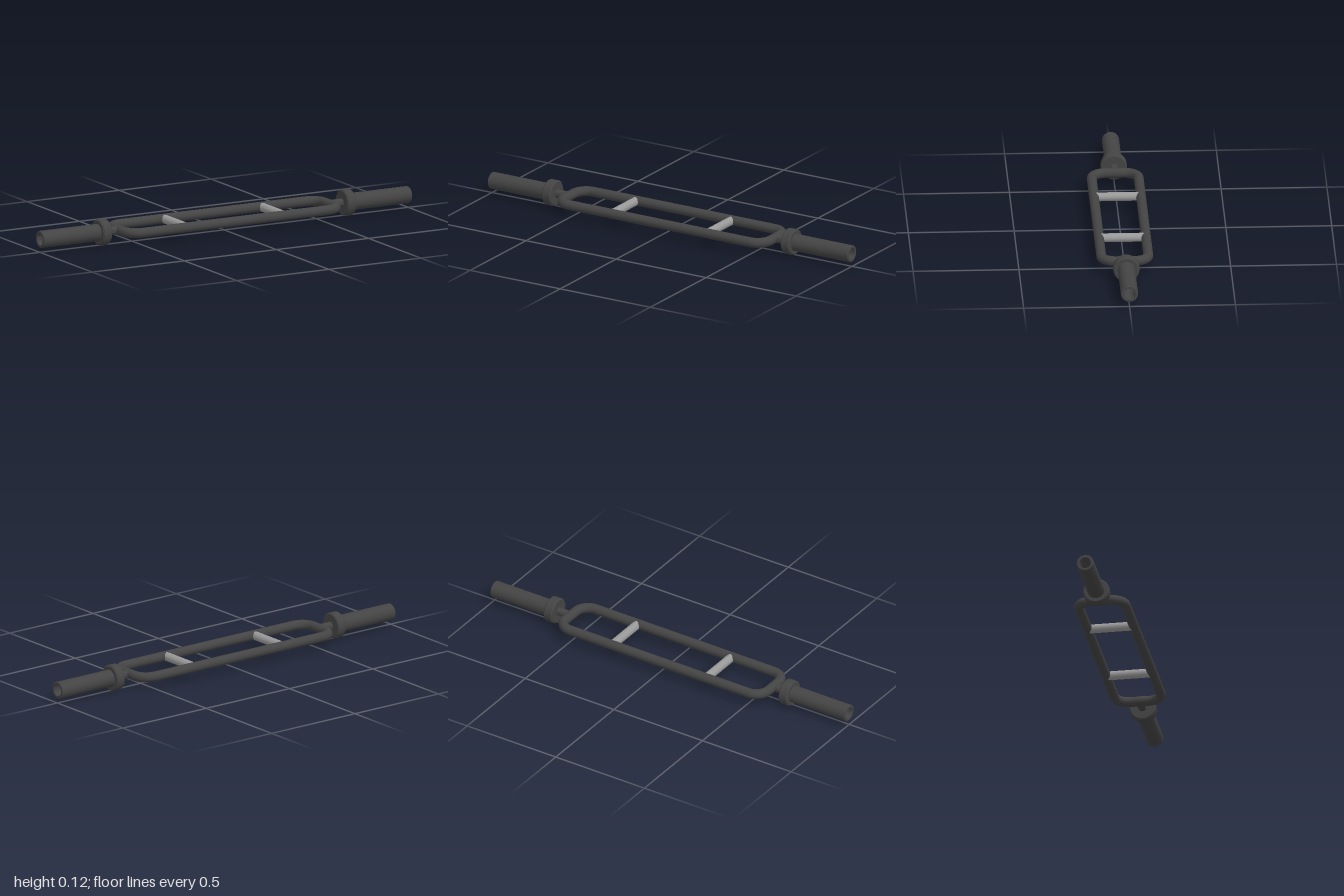
import * as THREE from 'three';
import { toCreasedNormals } from 'three/addons/utils/BufferGeometryUtils.js';

const AXIS_Y = 0.064;      // height of the bar's centre line
const TUBE = 0.0235;       // frame tube radius
const BEND = 0.068;        // frame corner radius, along the tube centre
const HALF_X = 0.571, HALF_Z = 0.111;

export function createModel() {
  const model = new THREE.Group();
  model.name = 'multiGripBarbell';
  const dark = new THREE.MeshStandardMaterial({ color: 0x444444 });
  const steel = new THREE.MeshStandardMaterial({ color: 0x999999 });

  const add = (name, geometry, material, x = 0, z = 0) => {
    const mesh = new THREE.Mesh(geometry, material);
    mesh.name = name;
    mesh.position.set(x, AXIS_Y, z);
    model.add(mesh);
    return mesh;
  };
  const rodX = (r, length) => new THREE.CylinderGeometry(r, r, length, 20, 1, true).rotateZ(Math.PI / 2);
  const rodZ = (r, length, sides = 20) => new THREE.CylinderGeometry(r, r, length, sides, 1, true).rotateX(Math.PI / 2);

  // Rounded rectangular frame: four straight tubes and four bends
  for (const s of [1, -1]) {
    add('frameLongTube', rodX(TUBE, 2 * (HALF_X - BEND)), dark, 0, s * HALF_Z);
    add('frameEndTube', rodZ(TUBE, 2 * (HALF_Z - BEND)), dark, s * HALF_X);
  }
  [[1, 1], [-1, 1], [-1, -1], [1, -1]].forEach(([sx, sz], k) => {
    const bend = new THREE.TorusGeometry(BEND, TUBE, 20, 10, Math.PI / 2)
      .rotateX(Math.PI / 2).rotateY(-k * Math.PI / 2);
    add('frameBend', bend, dark, sx * (HALF_X - BEND), sz * (HALF_Z - BEND));
  });

  // Cross grips, running into the long tubes
  for (const s of [1, -1]) add('grip', rodZ(0.021, 2 * HALF_Z, 16), steel, s * 0.265);

  // Neck, collar and hollow sleeve, turned as one profile of [radius, x]
  const profile = [
    [0.02, 0.572], [0.02, 0.639],
    [0.057, 0.639], [0.063, 0.645], [0.063, 0.681], [0.057, 0.687],
    [0.041, 0.687], [0.041, 0.997], [0.038, 1],
    [0.028, 1], [0.028, 0.69], [0, 0.69],
  ].map(([r, x]) => new THREE.Vector2(r, x));
  for (const s of [1, -1]) {
    const end = new THREE.LatheGeometry(profile, 18).rotateZ(-Math.PI / 2);
    if (s < 0) end.rotateY(Math.PI);
    add(s > 0 ? 'leftSleeve' : 'rightSleeve', toCreasedNormals(end, 0.5), dark);
  }
  return model;
}
